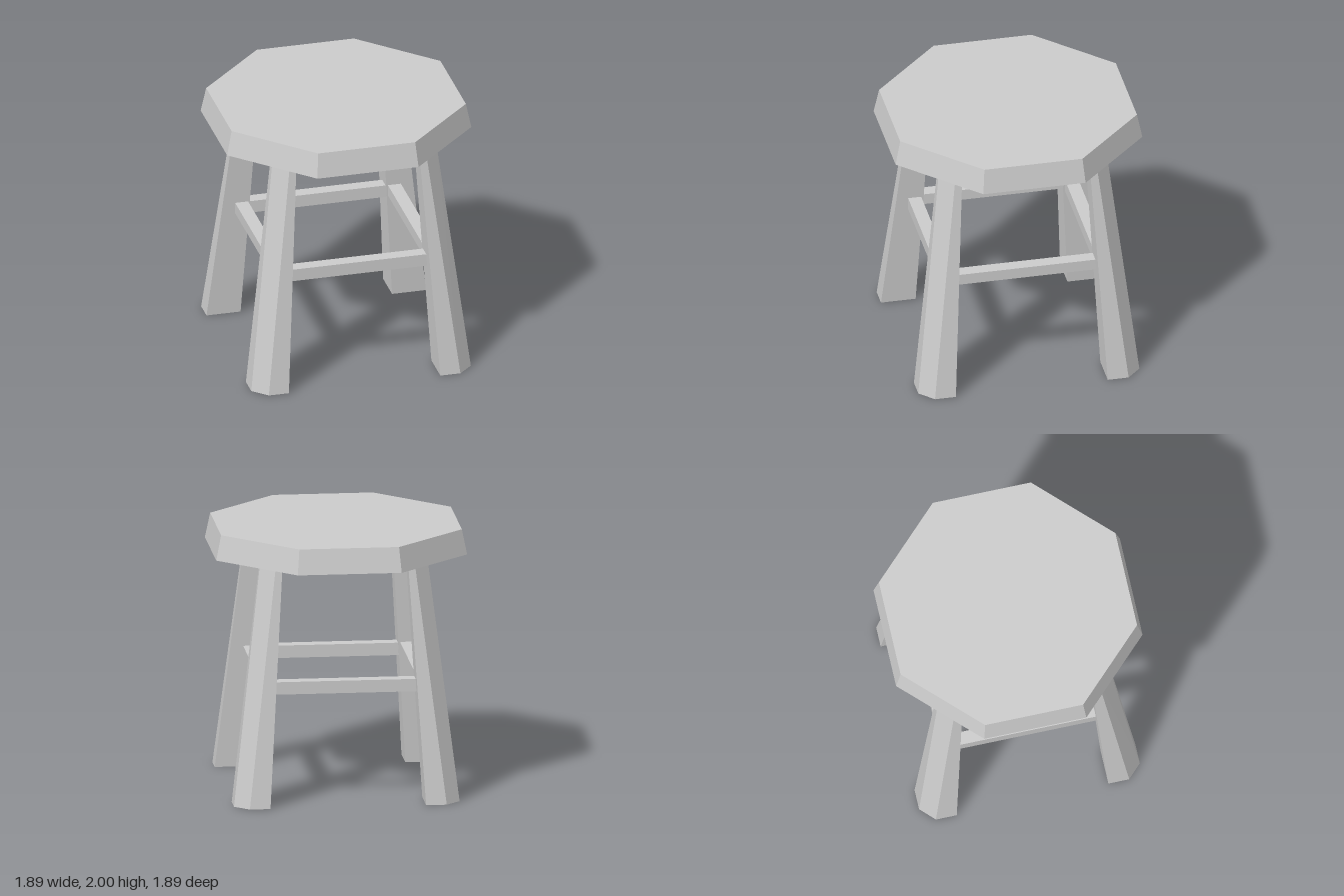
import * as THREE from 'three';
import { ConvexGeometry } from 'three/addons/geometries/ConvexGeometry.js';

const material = new THREE.MeshStandardMaterial({ color: 0xcccccc, flatShading: true });

function addPart(parent, name, geometry) {
  const mesh = new THREE.Mesh(geometry, material);
  mesh.name = name;
  parent.add(mesh);
  return mesh;
}

// Square section between inner and outer, with the outward corner cut off
function legSection(y, [xIn, xCut, xOut], [zIn, zCut, zOut], sx, sz) {
  return [[xIn, zIn], [xOut, zIn], [xOut, zCut], [xCut, zOut], [xIn, zOut]]
    .map(([x, z]) => new THREE.Vector3(sx * x, y, sz * z));
}

// Splayed leg tapering from the floor to the underside of the seat
function legGeometry(sx, sz) {
  return new ConvexGeometry([
    ...legSection(0, [0.585, 0.74, 0.848], [0.58, 0.74, 0.845], sx, sz),
    ...legSection(1.812, [0.472, 0.522, 0.63], [0.485, 0.535, 0.638], sx, sz),
  ]);
}

export function createModel() {
  const stool = new THREE.Group();
  stool.name = 'stool';

  // Eight-sided seat, slightly wider at the bottom
  const toCorner = 1 / Math.cos(Math.PI / 8);
  const seat = addPart(stool, 'seat', new THREE.CylinderGeometry(
    0.905 * toCorner, 0.943 * toCorner, 0.19, 8, 1, false, Math.PI / 8));
  seat.position.y = 1.905;

  // Four legs
  for (const [sx, side] of [[1, 'Left'], [-1, 'Right']]) {
    for (const [sz, end] of [[1, 'front'], [-1, 'back']]) {
      addPart(stool, `${end}${side}Leg`, legGeometry(sx, sz));
    }
  }

  // Rails let into the legs; the side pair sits a little higher
  for (const s of [1, -1]) {
    const cross = addPart(stool, s > 0 ? 'frontRail' : 'backRail',
      new THREE.BoxGeometry(1.18, 0.095, 0.1));
    cross.position.set(0, 0.878, s * 0.6);

    const along = addPart(stool, s > 0 ? 'leftRail' : 'rightRail',
      new THREE.BoxGeometry(0.1, 0.085, 1.18));
    along.position.set(s * 0.59, 0.893, 0);
  }

  return stool;
}
